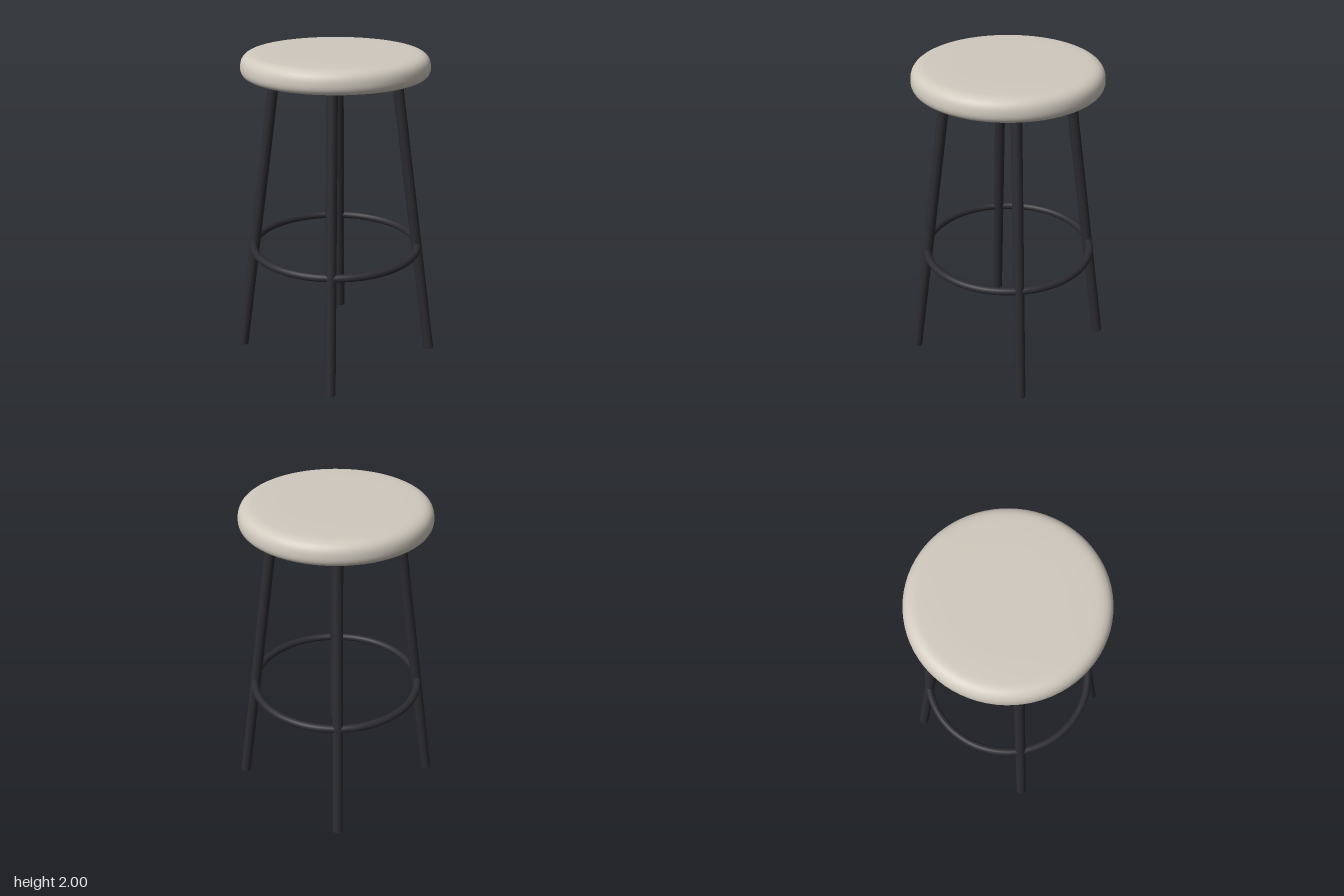
import * as THREE from 'three';

export function createModel() {
  const stool = new THREE.Group();
  stool.name = 'barStool';

  const cushion = new THREE.MeshStandardMaterial({ color: 0xd0c9be });
  cushion.name = 'warm grey upholstery';
  const metal = new THREE.MeshStandardMaterial({ color: 0x2c2c31 });
  metal.name = 'dark metal';

  const add = (name, geometry, material) => {
    const mesh = new THREE.Mesh(geometry, material);
    mesh.name = name;
    stool.add(mesh);
    return mesh;
  };

  // Round padded seat: flat underside, tight lower edge, softer upper edge
  const outline = new THREE.Path();
  outline.moveTo(0, 1.856);
  outline.lineTo(0.525, 1.856);
  outline.bezierCurveTo(0.555, 1.856, 0.573, 1.875, 0.573, 1.91);
  outline.bezierCurveTo(0.573, 1.965, 0.545, 1.994, 0.485, 1.996);
  outline.bezierCurveTo(0.42, 1.999, 0.36, 2, 0.3, 2);
  outline.lineTo(0, 2);
  add('seat', new THREE.LatheGeometry(outline.getPoints(10), 72), cushion);

  // Mounting plate under the seat
  const plate = add('seatPlate', new THREE.CylinderGeometry(0.46, 0.46, 0.02, 64), metal);
  plate.position.y = 1.849;

  // Four splayed tubular legs
  const up = new THREE.Vector3(0, 1, 0);
  for (const [name, sx, sz] of [
    ['frontLeftLeg', 1, 1], ['frontRightLeg', -1, 1],
    ['backLeftLeg', 1, -1], ['backRightLeg', -1, -1],
  ]) {
    const foot = new THREE.Vector3(0.442 * sx, 0.005, 0.442 * sz);
    const top = new THREE.Vector3(0.262 * sx, 1.848, 0.262 * sz);
    const axis = top.clone().sub(foot);
    const leg = add(name, new THREE.CylinderGeometry(0.033, 0.033, axis.length(), 24), metal);
    leg.position.copy(foot).add(top).multiplyScalar(0.5);
    leg.quaternion.setFromUnitVectors(up, axis.normalize());
  }

  // Circular footrest passing through the legs
  const ring = add('footrestRing', new THREE.TorusGeometry(0.528, 0.024, 16, 80), metal);
  ring.rotation.x = Math.PI / 2;
  ring.position.y = 0.745;

  return stool;
}
